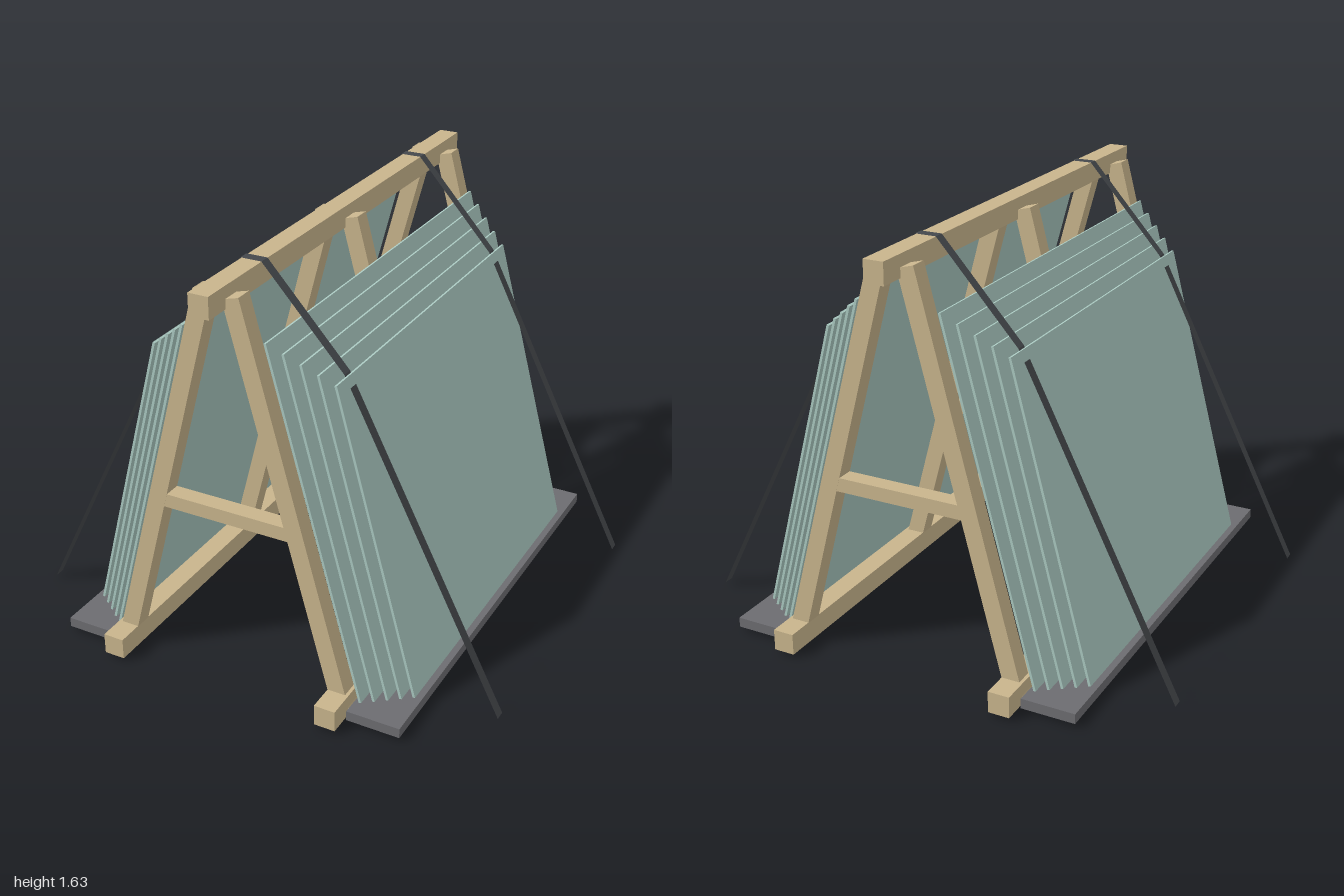
import * as THREE from 'three';

const wood = new THREE.MeshStandardMaterial({ color: 0xc8b48c });
const glass = new THREE.MeshStandardMaterial({ color: 0xa9c8c0 });
const rubber = new THREE.MeshStandardMaterial({ color: 0x6c6c70 });
const webbing = new THREE.MeshStandardMaterial({ color: 0x45484c, side: THREE.DoubleSide });

const LEAN = THREE.MathUtils.degToRad(15);

function box(parent, name, material, w, h, d, x, y, z, tilt = 0) {
  const mesh = new THREE.Mesh(new THREE.BoxGeometry(w, h, d), material);
  mesh.name = name;
  mesh.position.set(x, y, z);
  mesh.rotation.z = tilt;
  parent.add(mesh);
  return mesh;
}

// Thin flat ribbon following a polyline in the xy plane
function ribbon(points, width) {
  const positions = [], index = [];
  points.forEach(([x, y], i) => {
    positions.push(x, y, width / 2, x, y, -width / 2);
    if (i) {
      const a = 2 * i - 2;
      index.push(a, a + 2, a + 1, a + 1, a + 2, a + 3);
    }
  });
  const indexed = new THREE.BufferGeometry();
  indexed.setAttribute('position', new THREE.Float32BufferAttribute(positions, 3));
  indexed.setIndex(index);
  const geometry = indexed.toNonIndexed();
  geometry.computeVertexNormals();
  return geometry;
}

export function createModel() {
  const model = new THREE.Group();
  model.name = 'glassTransportRack';

  // Ridge beam along the top
  box(model, 'ridgeBeam', wood, 0.08, 0.085, 2, 0, 1.587, 0);

  // Three A-frames
  for (const z of [-0.86, 0, 0.86]) {
    const frame = new THREE.Group();
    frame.name = 'aFrame';
    frame.position.z = z;
    for (const s of [-1, 1]) {
      box(frame, 'leg', wood, 0.07, 1.633, 0.07, s * 0.268, 0.798, 0, s * LEAN);
    }
    box(frame, 'crossbar', wood, 0.53, 0.055, 0.069, 0, 0.718, 0);
    model.add(frame);
  }

  for (const s of [-1, 1]) {
    const side = new THREE.Group();
    side.name = s > 0 ? 'leftSide' : 'rightSide';

    // Floor runner and padded ledge carrying the panes
    box(side, 'runner', wood, 0.085, 0.085, 2, s * 0.462, 0.057, 0);
    box(side, 'ledge', rubber, 0.215, 0.04, 1.85, s * 0.62, 0.035, 0);

    // Five leaning panes, each smaller than the one behind it
    for (let i = 0; i < 5; i++) {
      const bottom = 0.055, top = 1.43 - i * 0.041;
      const length = (top - bottom) / Math.cos(LEAN);
      const xMid = 0.535 + i * 0.0405 - Math.tan(LEAN) * (top - bottom) / 2;
      box(side, 'pane', glass, 0.01, length, 1.72 - i * 0.06,
        s * xMid, (top + bottom) / 2, 0, s * LEAN);
    }
    model.add(side);
  }

  // Straps over the ridge, bent over the outer panes and pulled out to the floor
  const path = [[-1, 0.015], [-0.365, 1.272], [-0.042, 1.632],
    [0.042, 1.632], [0.365, 1.272], [1, 0.015]];
  for (const z of [-0.64, 0.64]) {
    const strap = new THREE.Mesh(ribbon(path, 0.042), webbing);
    strap.name = 'strap';
    strap.position.z = z;
    model.add(strap);
  }

  return model;
}
